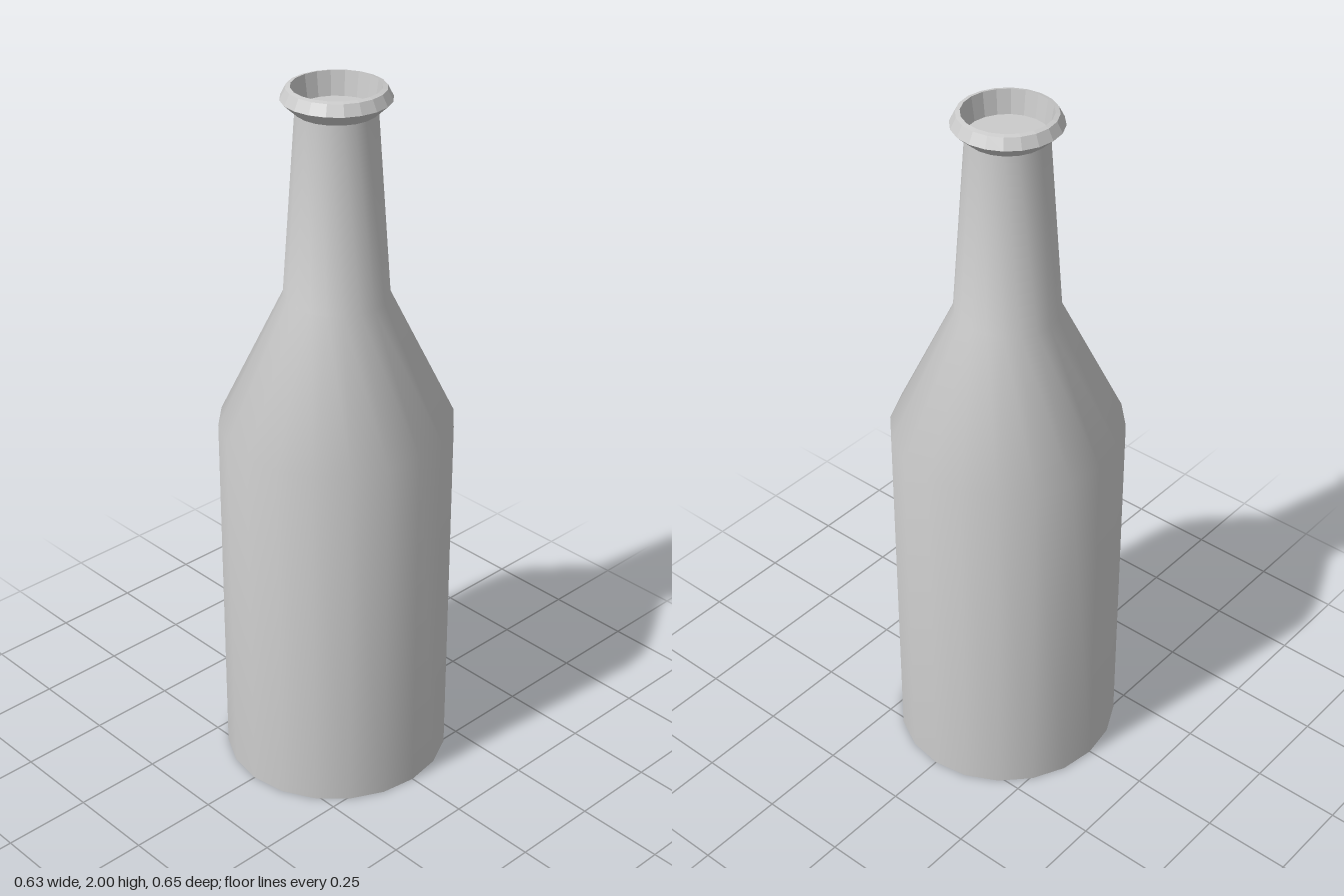
import * as THREE from 'three';

const SIDES = 20;

// Revolved part from [radius, height] pairs
function turned(name, profile, flatShading = false, scaleX = 1) {
  const points = profile.map(([r, y]) => new THREE.Vector2(r, y));
  const geometry = new THREE.LatheGeometry(points, SIDES);
  geometry.scale(scaleX, 1, 1);
  const material = new THREE.MeshStandardMaterial({ color: 0xcccccc, flatShading });
  const mesh = new THREE.Mesh(geometry, material);
  mesh.name = name;
  return mesh;
}

export function createModel() {
  const bottle = new THREE.Group();
  bottle.name = 'bottle';

  // Smooth shell: slightly oval body, sloping shoulder, tapering round neck
  const shell = turned('bodyShoulderAndNeck', [
    [0.325, 0], [0.325, 1.06], [0.143, 1.43], [0.107, 1.935],
  ]);
  const position = shell.geometry.attributes.position;
  for (let i = 0; i < position.count; i++) {
    if (position.getY(i) < 1.2) position.setX(i, position.getX(i) * 0.975);
  }
  shell.geometry.computeBoundingSphere();
  bottle.add(shell);

  // Flat underside
  bottle.add(turned('base', [[0, 0], [0.325, 0]], true, 0.975));

  // Faceted lip, with the inside wall of the mouth
  bottle.add(turned('lip', [
    [0.107, 1.934], [0.144, 1.968], [0.129, 1.997], [0.117, 2], [0.107, 1.935],
  ], true));

  // Shallow floor closing the mouth
  bottle.add(turned('mouthFloor', [[0.107, 1.935], [0, 1.935]], true));

  return bottle;
}
